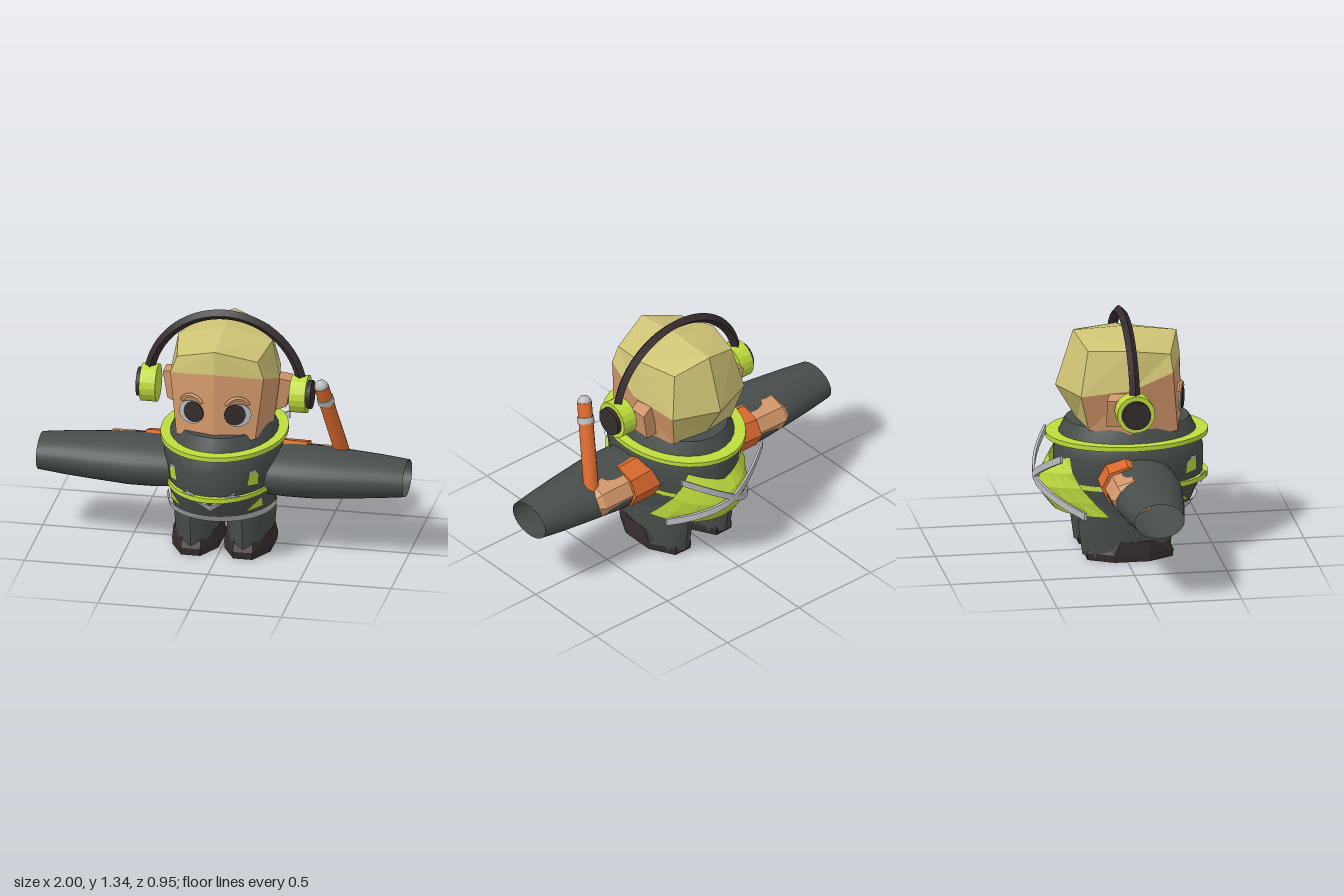
import * as THREE from 'three';
import { toCreasedNormals } from 'three/addons/utils/BufferGeometryUtils.js';

const paint = (name, color, side = THREE.FrontSide) => {
  const m = new THREE.MeshStandardMaterial({ color, side });
  m.name = name;
  return m;
};

export function createModel() {
  const suit = paint('suit charcoal', 0x474d4a, THREE.DoubleSide);
  const lime = paint('safety lime', 0xbddb3c, THREE.DoubleSide);
  const silver = paint('reflective silver', 0xb9bbbe, THREE.DoubleSide);
  const skin = paint('skin', 0xd2976a);
  const hair = paint('blond hair', 0xcfc374);
  const orange = paint('orange', 0xd9682d);
  const dark = paint('dark brown', 0x352c2d);

  const model = new THREE.Group();
  model.name = 'groundCrewFigure';

  function add(name, geo, mat, crease = 0.7, parent = model) {
    const mesh = new THREE.Mesh(toCreasedNormals(geo, crease), mat);
    mesh.name = name;
    parent.add(mesh);
    return mesh;
  }

  // adds a part on +x and its mirror image on -x
  function pair(name, geo, mat, crease = 0.7) {
    add(name + 'Left', geo, mat, crease);
    const m = geo.index ? geo.toNonIndexed() : geo.clone();
    const p = m.attributes.position, v = new THREE.Vector3(), w = new THREE.Vector3();
    for (let i = 0; i < p.count; i += 3) {
      v.fromBufferAttribute(p, i);
      w.fromBufferAttribute(p, i + 2);
      p.setXYZ(i, w.x, w.y, w.z).setXYZ(i + 2, v.x, v.y, v.z);
    }
    for (let i = 0; i < p.count; i++) p.setX(i, -p.getX(i));
    add(name + 'Right', m, mat, crease);
  }

  // moves every vertex by a rule
  function bend(geo, rule) {
    const p = geo.attributes.position;
    for (let i = 0; i < p.count; i++) p.setXYZ(i, ...rule(p.getX(i), p.getY(i), p.getZ(i)));
    return geo;
  }

  // elliptical cross-sections from top to bottom: [y, rx, rz, cx, cz]
  function loft(sections, sides = 32, open = false, start = 0, length = Math.PI * 2) {
    const rows = sections.length - 1;
    return bend(new THREE.CylinderGeometry(1, 1, 1, sides, rows, open, start, length), (x, y, z) => {
      const [h, rx, rz, cx = 0, cz = 0] = sections[Math.round((0.5 - y) * rows)];
      return [x * rx + cx, h, z * rz + cz];
    });
  }

  // triangles facing away from a centre; quads are given as four corners
  function facets(quads, centre) {
    const out = [], c = new THREE.Vector3(...centre);
    for (const q of quads) for (const t of q.length > 3 ? [[0, 1, 2], [0, 2, 3]] : [[0, 1, 2]]) {
      const [a, b, d] = t.map(i => new THREE.Vector3(...q[i]));
      const n = b.clone().sub(a).cross(d.clone().sub(a));
      const order = n.dot(a.clone().sub(c)) > 0 ? [a, b, d] : [a, d, b];
      order.forEach(v => out.push(v.x, v.y, v.z));
    }
    const g = new THREE.BufferGeometry();
    g.setAttribute('position', new THREE.Float32BufferAttribute(out, 3));
    return g;
  }

  // torso
  const torso = [
    [0.74, 0.255, 0.335, 0, 0.04], [0.63, 0.305, 0.39, 0, 0.04], [0.57, 0.32, 0.405, 0, 0.045],
    [0.48, 0.305, 0.405, 0, 0.045], [0.4, 0.295, 0.4, 0, 0.045], [0.33, 0.288, 0.365, 0, 0.04],
    [0.26, 0.275, 0.335, 0, 0.04]];
  add('torso', loft(torso), suit, 0.5);

  // lime hoops and silver hem
  const hoop = (y, rx, rz, cz) => loft([[y + 0.013, rx, rz, 0, cz], [y - 0.013, rx, rz, 0, cz]], 40);
  add('chestHoop', hoop(0.655, 0.34, 0.438, 0.037), lime);
  add('waistHoop', hoop(0.415, 0.303, 0.418, 0.057), lime);
  add('frontHem', loft([[0.305, 0.298, 0.335, 0, 0.08], [0.26, 0.29, 0.3, 0, 0.08]],
    20, true, -Math.PI / 2, Math.PI), silver);

  // front vest panels laid over the torso
  function onTorso(x, y, off) {
    let i = 0;
    while (i < torso.length - 2 && torso[i + 1][0] > y) i++;
    const t = (torso[i][0] - y) / (torso[i][0] - torso[i + 1][0]);
    const [, rx, rz, , cz] = torso[i].map((v, k) => v + (torso[i + 1][k] - v) * t);
    return [x, y, cz + rz * Math.sqrt(Math.max(0, 1 - (x / rx) ** 2)) + off];
  }
  const panel = (off, ...pts) => facets([pts.map(([x, y]) => onTorso(x, y, off))], [0, 0.45, 0]);
  pair('frontVestPanel', panel(0.025, [0.245, 0.54], [0.205, 0.57], [0.19, 0.48], [0.24, 0.47]), lime);
  pair('frontVestHem', panel(0.02, [0.25, 0.38], [0.17, 0.31], [0.25, 0.31]), lime);
  pair('frontVestTrim', panel(0.03, [0.235, 0.57], [0.19, 0.56], [0.24, 0.54]), silver);
  pair('frontChevron', panel(0.025, [0, 0.385], [0, 0.34], [0.08, 0.4], [0.15, 0.465]), silver);
  pair('frontChevronTip', panel(0.025, [0.08, 0.4], [0.17, 0.425], [0.11, 0.45]), silver);

  // back vest with crossing straps
  const vest = bend(new THREE.PlaneGeometry(2, 1, 10, 4), (u, h) => {
    const v = h + 0.5, a = u * (1.24 - 0.6 * v), rz = 0.4 + 0.01 * v + 0.065 * Math.sin(Math.PI * v);
    return [0.31 * Math.sin(a), 0.26 + v * (0.25 + 0.07 * Math.abs(u)), 0.03 - rz * Math.cos(a)];
  });
  add('backVest', vest, lime, 0.1);
  const strap = bend(new THREE.BoxGeometry(2, 0.04, 0.014, 12, 1, 1), (u, h, d) => {
    const k = Math.abs(u) ** 1.7;
    return [0.28 * u, 0.435 - 0.165 * u + h, -0.465 + (u > 0 ? 0.235 : 0.105) * k + d];
  });
  pair('backStrap', strap, silver, 0.5);

  // wide open sleeves
  const sleeve = loft([[1, 0.095, 0.135, 0, 0.055], [0.85, 0.11, 0.158, 0, 0.056], [0.7, 0.12, 0.178, 0, 0.058],
    [0.5, 0.132, 0.2, 0, 0.06], [0.35, 0.132, 0.2, 0, 0.06], [0.2, 0.12, 0.19, 0, 0.06]], 32, true);
  sleeve.rotateZ(-Math.PI / 2).translate(0, 0.458, 0);
  pair('wideSleeve', sleeve, suit, 0.9);

  // forearm cuffs and hands
  const alongX = (sections, sides) => loft(sections, sides).rotateZ(-Math.PI / 2).translate(0, 0.475, 0);
  pair('armCuff', alongX([[0.44, 0.115, 0.145, 0, -0.025], [0.22, 0.125, 0.14, 0, -0.02]], 8), orange, 0.1);
  pair('hand', alongX([[0.66, 0.07, 0.1, 0, -0.03], [0.63, 0.098, 0.125, 0, -0.025],
    [0.42, 0.1, 0.13, 0, -0.02]], 8), skin, 0.1);

  // legs and shoes
  pair('leg', loft([[0.32, 0.128, 0.262, 0.142, 0.01], [0.18, 0.128, 0.258, 0.142, 0.01],
    [0.02, 0.115, 0.238, 0.142, 0.012]], 18), suit, 0.6);
  pair('shoe', loft([[0.11, 0.132, 0.2, 0.142, 0.04], [0.04, 0.138, 0.255, 0.142, 0.025],
    [0, 0.136, 0.25, 0.142, 0.025]], 8, false, Math.PI / 8), dark, 0.1);

  // faceted head: each ring runs front, front corner, side, back corner, back
  const crown = [[0, 1.21, 0.307], [0.22, 1.143, 0.24], [0.257, 1.18, 0.016], [0.2, 1.175, -0.204], [0, 1.236, -0.254]];
  const brow = [[0, 1.085, 0.325], [0.255, 1.05, 0.25], [0.298, 0.97, 0.016], [0.25, 0.934, -0.25], [0, 0.934, -0.35]];
  const jaw = [[0, 0.71, 0.335], [0.215, 0.71, 0.28], [0.265, 0.71, 0.016], [0.2, 0.73, -0.2], [0, 0.73, -0.23]];
  const ridge = [0, 1.246, 0.016];
  const wall = (top, low, i) => [top[i], top[i + 1], low[i + 1], low[i]];
  const middle = [0, 0.95, 0];
  pair('hair', facets([
    [crown[0], crown[1], crown[2], ridge], [crown[4], crown[3], crown[2], ridge],
    ...[0, 1, 2, 3].map(i => wall(crown, brow, i)), wall(brow, jaw, 3)], middle), hair, 0.05);
  pair('face', facets([0, 1, 2].map(i => wall(brow, jaw, i)), middle), skin, 0.05);

  // ears
  pair('ear', bend(new THREE.BoxGeometry(1, 1, 1), (x, y, z) =>
    [0.305 + x * 0.09 - (y < 0 ? 0.025 : 0), 0.86 + y * (x > 0 ? 0.15 : 0.2), -0.06 + z * 0.1 - x * 0.03]), skin, 0.1);

  // eyes and eyelids, tilted with the face
  const disc = (r, sx, x, y, z) => new THREE.CylinderGeometry(r, r, 0.008, 20)
    .rotateX(Math.PI / 2).scale(sx, 1, 1).rotateY(0.29).translate(x, y, z);
  pair('eyeWhite', disc(0.066, 1.1, 0.127, 0.858, 0.312), silver);
  pair('pupil', disc(0.058, 1, 0.113, 0.862, 0.322), dark);
  pair('eyelid', new THREE.TorusGeometry(0.066, 0.013, 5, 10, Math.PI * 0.7).rotateZ(Math.PI * 0.15)
    .rotateY(0.29).translate(0.125, 0.885, 0.31), skin, 0.3);

  // headphones
  add('headband', new THREE.TorusGeometry(0.42, 0.028, 4, 32, Math.PI).translate(0, 0.89, 0.016), dark, 0.4);
  const cup = (r, w, x, sides) => new THREE.CylinderGeometry(r, r, w, sides)
    .rotateZ(Math.PI / 2).translate(x, 0.885, 0.016);
  pair('earCup', cup(0.103, 0.088, 0.409, 18), lime, 0.2);
  pair('earCupCap', cup(0.078, 0.06, 0.446, 18), dark, 0.5);

  // signal wand held in the left hand
  const wand = new THREE.Group();
  wand.name = 'signalWand';
  const from = new THREE.Vector3(0.648, 0.46, -0.055), to = new THREE.Vector3(0.547, 0.985, 0.133);
  const length = from.distanceTo(to);
  wand.position.copy(from);
  wand.quaternion.setFromUnitVectors(new THREE.Vector3(0, 1, 0), to.clone().sub(from).normalize());
  add('wandShaft', new THREE.CylinderGeometry(0.04, 0.042, length, 12).translate(0, length / 2, 0), orange, 0.6, wand);
  add('wandBand', new THREE.CylinderGeometry(0.046, 0.046, 0.035, 12).translate(0, length * 0.83, 0), silver, 0.6, wand);
  add('wandTip', new THREE.SphereGeometry(0.038, 12, 8).translate(0, length, 0), silver, 0.6, wand);
  model.add(wand);

  return model;
}
